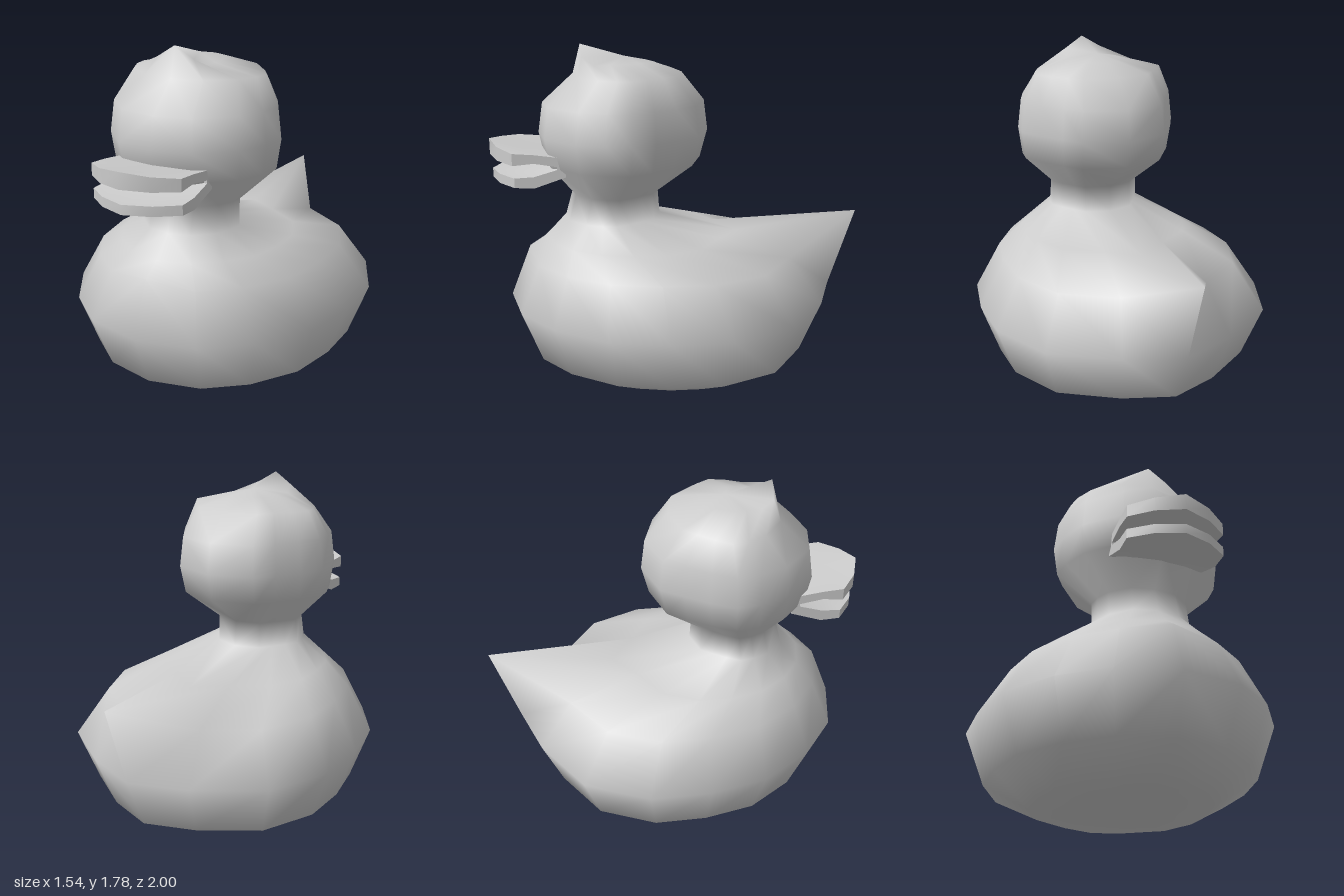
import * as THREE from 'three';
import { toCreasedNormals } from 'three/addons/utils/BufferGeometryUtils.js';

const SIDES = 16;

// Half outlines seen from above, front to back: [share of half width, share of depth from the back]
const BODY = [[0, 1], [0.4, 0.96], [0.69, 0.86], [0.92, 0.71], [1, 0.54], [1, 0.365], [0.81, 0.18], [0.39, 0.06], [0, 0]];
const HEAD = [[0, 1], [0.46, 0.955], [0.83, 0.775], [0.96, 0.61], [1, 0.47], [0.86, 0.335], [0.68, 0.2], [0.52, 0.08], [0, 0]];

// Rings from bottom to top: outline, height, half width, front z, back z,
// and points that leave the ring (outline index: [x, y, z])
const RINGS = [
  [BODY, 0, 0.44, 0.52, -0.44],
  [BODY, 0.13, 0.67, 0.81, -0.74],
  [BODY, 0.41, 0.77, 0.92, -0.86],
  [BODY, 0.655, 0.62, 0.81, -0.67, { 0: [0, 0.69, 0.81], 8: [0, 0.84, -1] }], // tail tip
  [BODY, 0.755, 0.44, 0.71, -0.27, { 8: [0, 0.745, -0.33] }],
  [HEAD, 0.86, 0.26, 0.61, 0.1],
  [HEAD, 1.0, 0.255, 0.57, 0.11],
  [HEAD, 1.17, 0.43, 0.71, -0.12],
  [HEAD, 1.32, 0.45, 0.74, -0.16],
  [HEAD, 1.48, 0.43, 0.715, -0.14],
  [HEAD, 1.63, 0.36, 0.55, -0.02],
  [HEAD, 1.685, 0.14, 0.5, 0.13, { 0: [0, 1.78, 0.51], 1: [0.1, 1.72, 0.5], 2: [0.12, 1.68, 0.44] }], // tuft
];

function makeGeometry(positions, index) {
  const g = new THREE.BufferGeometry();
  g.setAttribute('position', new THREE.Float32BufferAttribute(positions, 3));
  g.setIndex(index);
  g.computeVertexNormals();
  return g;
}

// Body, tail, neck and head as one smooth skin over the rings
function duckGeometry() {
  const pos = [], idx = [];
  for (const [outline, y, w, front, back, moved = {}] of RINGS) {
    for (let j = 0; j < SIDES; j++) {
      const i = j <= 8 ? j : SIDES - j;
      const side = j <= 8 ? 1 : -1;
      const [u, v] = outline[i];
      const p = moved[i] ?? [u * w, y, back + v * (front - back)];
      pos.push(p[0] * side, p[1], p[2]);
    }
  }
  for (let r = 0; r < RINGS.length - 1; r++) {
    for (let j = 0; j < SIDES; j++) {
      const k = (j + 1) % SIDES;
      const a = r * SIDES + j, b = r * SIDES + k, c = a + SIDES, d = b + SIDES;
      // Diagonals mirror between the left and right halves
      if (j < 8) idx.push(a, b, c, b, d, c);
      else idx.push(a, b, d, a, d, c);
    }
  }
  // Flat base and crown
  const base = pos.length / 3, crown = base + 1, last = (RINGS.length - 1) * SIDES;
  pos.push(0, 0, 0.04, 0, 1.715, 0.28);
  for (let j = 0; j < SIDES; j++) {
    const k = (j + 1) % SIDES;
    idx.push(base, k, j, crown, last + j, last + k);
  }
  return makeGeometry(pos, idx);
}

// Open bill: a sideways V swept across x, with a rounded front edge
function billGeometry() {
  // [share of length, y, rise at the middle]; outer side first, then inner side
  const loop = [
    [0.97, 1.08, 0], [0.6, 1.075, 0], [0, 1.13, 0], [0, 1.228, 0], [0.6, 1.25, 0.01], [1, 1.258, 0.032],
    [1, 1.195, 0.01], [0.6, 1.205, 0], [0.16, 1.185, 0], [0.16, 1.17, 0], [0.6, 1.135, 0], [0.97, 1.13, 0],
  ];
  const columns = [[-0.25, 0.865], [-0.14, 0.95], [0, 1], [0.14, 0.95], [0.25, 0.865]];
  const n = loop.length, pos = [], idx = [];
  for (const [x, front] of columns) {
    const middle = 1 - Math.abs(x) / 0.25;
    for (const [t, y, rise] of loop) pos.push(x, y + rise * middle, 0.595 + t * (front - 0.595));
  }
  const end = (columns.length - 1) * n;
  for (let c = 0; c < end; c += n) {
    for (let p = 0; p < n; p++) {
      const q = (p + 1) % n;
      idx.push(c + p, c + q, c + n + p, c + q, c + n + q, c + n + p);
    }
  }
  // Side walls
  for (let p = 0; p < n / 2 - 1; p++) {
    const quad = [p, p + 1, n - 2 - p, p, n - 2 - p, n - 1 - p];
    idx.push(...quad.map((i) => end + i), ...quad.reverse());
  }
  return toCreasedNormals(makeGeometry(pos, idx), 0.9);
}

export function createModel() {
  const group = new THREE.Group();
  group.name = 'rubberDuck';
  const material = new THREE.MeshStandardMaterial({ color: 0xcccccc });
  const add = (name, geometry) => {
    const mesh = new THREE.Mesh(geometry, material);
    mesh.name = name;
    group.add(mesh);
  };
  add('bodyAndHead', duckGeometry());
  add('bill', billGeometry());
  return group;
}
